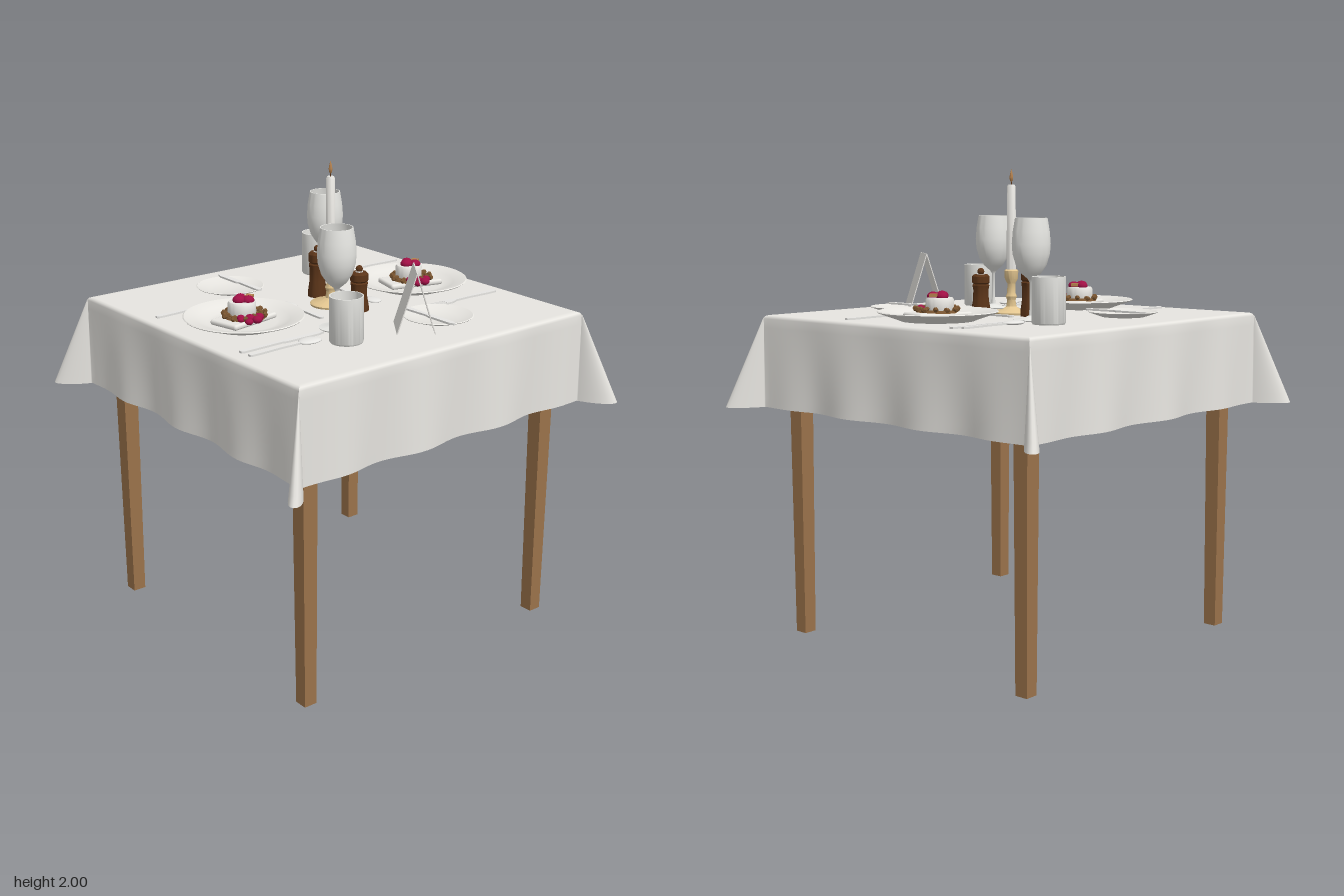
import * as THREE from 'three';
import { toCreasedNormals } from 'three/addons/utils/BufferGeometryUtils.js';
import { RoundedBoxGeometry } from 'three/addons/geometries/RoundedBoxGeometry.js';

const TOP = 1.386; // height of the laid surface

function material(name, color, side = THREE.DoubleSide) {
  const m = new THREE.MeshStandardMaterial({ color, side });
  m.name = name;
  return m;
}
const linen = material('linen', 0xf0eee9);
const wood = material('wood', 0x9a724a, THREE.FrontSide);
const china = material('china', 0xf3f1ec);
const glass = material('glass', 0xe6e6e2);
const silver = material('silver', 0xe6e5e2);
const darkWood = material('darkWood', 0x5c3519);
const paleWood = material('paleWood', 0xe3c690);
const berry = material('berry', 0xa01045);
const crumb = material('crumb', 0x7a5530);
const flameTan = material('flameTan', 0xb5824f);

function add(parent, name, geometry, mat, x = 0, y = 0, z = 0) {
  const mesh = new THREE.Mesh(geometry, mat);
  mesh.name = name;
  mesh.position.set(x, y, z);
  parent.add(mesh);
  return mesh;
}
function group(parent, name, x = 0, y = 0, z = 0) {
  const g = new THREE.Group();
  g.name = name;
  g.position.set(x, y, z);
  parent.add(g);
  return g;
}
// Turned form from [radius, height] pairs, bottom to top
function turned(points, segments = 40, crease = 0.6) {
  const geo = new THREE.LatheGeometry(points.map(p => new THREE.Vector2(...p)), segments);
  return toCreasedNormals(geo, crease);
}
// Flat symmetrical outline from [z, halfWidth] pairs, lying on y = 0
function flat(profile, depth = 0.008) {
  const side = s => profile.map(([z, w]) => new THREE.Vector2(s * w, -z));
  const shape = new THREE.Shape([...side(1), ...side(-1).reverse()]);
  return new THREE.ExtrudeGeometry(shape, { depth, bevelEnabled: false }).rotateX(-Math.PI / 2);
}

// Square cloth: top, rounded edge, rippled drop and a flared fold at each corner
function clothGeometry() {
  const H = 0.745, SIDE = 48, FOLD = 18;
  // [half size, height, spread]
  const rows = [[0, TOP, 0], [0.715, TOP, 0], [0.73, TOP, 0], [0.74, TOP - 0.004, 0], [H, TOP - 0.015, 0.02]];
  for (let i = 1; i <= 10; i++) rows.push([H, TOP - 0.015 - 0.379 * i / 10, 0.02 + 0.98 * i / 10]);
  const pos = [], index = [], n = 4 * (SIDE + FOLD);
  for (const [half, y, s] of rows) {
    for (let q = 0; q < 4; q++) {
      const put = (x, z) => {
        for (let k = 0; k < q; k++) [x, z] = [z, -x];
        pos.push(x, y, z);
      };
      for (let i = 0; i < SIDE; i++) {
        const t = i / SIDE, x = (2 * t - 1) * half;
        const fade = Math.min(1, 5 * t, 5 * (1 - t));
        put(x, half + 0.016 * s * fade * Math.sin(t * 22.5 + q * 1.3 - 2.6));
      }
      for (let i = 0; i < FOLD; i++) {
        const a = 2 * Math.PI * i / FOLD;
        const out = s * 0.17 * (1 - Math.cos(a)) / 2;
        const across = s * 0.036 * Math.sin(a) * Math.sin(a / 2);
        put(half + (out - across) * Math.SQRT1_2, half + (out + across) * Math.SQRT1_2);
      }
    }
  }
  for (let r = 0; r < rows.length - 1; r++) for (let i = 0; i < n; i++) {
    const a = r * n + i, b = r * n + (i + 1) % n, c = a + n, d = b + n;
    if (r > 0) index.push(a, c, b);
    index.push(b, c, d);
  }
  const geo = new THREE.BufferGeometry();
  geo.setAttribute('position', new THREE.Float32BufferAttribute(pos, 3));
  geo.setIndex(index);
  geo.computeVertexNormals();
  return geo;
}

function table(parent) {
  const g = group(parent, 'table');
  add(g, 'tableTop', new THREE.BoxGeometry(1.46, 0.025, 1.46), wood, 0, 1.3675, 0);
  const leg = new THREE.BoxGeometry(0.072, 1.355, 0.072);
  const p = leg.attributes.position;
  for (let i = 0; i < p.count; i++) if (p.getY(i) < 0) p.setXYZ(i, p.getX(i) * 0.8, p.getY(i), p.getZ(i) * 0.8);
  for (const sx of [-1, 1]) {
    for (const sz of [-1, 1]) add(g, 'leg', leg, wood, sx * 0.637, 0.6775, sz * 0.637);
    add(g, 'sideRail', new THREE.BoxGeometry(0.04, 0.15, 1.21), wood, sx * 0.637, 1.28, 0);
    add(g, 'crossRail', new THREE.BoxGeometry(1.21, 0.15, 0.04), wood, 0, 1.28, sx * 0.637);
  }
}

const handle = [[0.15, 0.006], [0.19, 0.005], [0.29, 0.011], [0.335, 0.012], [0.345, 0.007]];
function spoon(parent, x, z, scale, turn = 0) {
  const g = group(parent, 'spoon', x, TOP, z);
  g.rotation.y = turn;
  const bowl = new THREE.SphereGeometry(1, 24, 12).scale(0.037, 0.009, 0.053);
  add(g, 'spoonBowl', bowl, silver, 0, 0.009, 0.053).scale.setScalar(scale < 1 ? 0.88 : 1);
  add(g, 'spoonHandle', flat([[0.098, 0.006], ...handle]), silver, 0, 0.004, 0).scale.z = scale;
}
function knife(parent, x, y, z, length, turn = 0) {
  const outline = [[0, 0.004], [0.03, 0.013], [0.19, 0.014], [0.21, 0.008], [0.24, 0.009], [0.39, 0.014], [0.405, 0.009]];
  const m = add(parent, 'knife', flat(outline), silver, x, y, z);
  m.scale.z = length / 0.405;
  m.rotation.y = turn;
}
function fork(parent, x, z) {
  const g = group(parent, 'fork', x, TOP, z);
  add(g, 'forkHandle', flat([[0.085, 0.021], [0.115, 0.02], [0.15, 0.007], [0.22, 0.006], [0.34, 0.014], [0.375, 0.013], [0.382, 0.007]]), silver);
  for (let i = 0; i < 4; i++) add(g, 'tine', new THREE.BoxGeometry(0.006, 0.008, 0.09), silver, -0.0175 + i * 0.01167, 0.004, 0.045);
}

// Crockery, cutlery and glassware for one guest
function placeSetting(parent, turn, napkinTurn) {
  const g = group(parent, 'placeSetting');
  g.rotation.y = turn;
  add(g, 'dinnerPlate', turned([[0, 0], [0.15, 0], [0.165, 0.006], [0.244, 0.034], [0.248, 0.038], [0.244, 0.041],
    [0.198, 0.03], [0.19, 0.026], [0.15, 0.013], [0.135, 0.011], [0, 0.011]], 64, 0.3), china, 0, TOP, 0.451);
  const napkin = add(g, 'napkin', new RoundedBoxGeometry(0.145, 0.024, 0.25, 3, 0.011), linen, 0, TOP + 0.024, 0.451);
  napkin.rotation.y = napkinTurn;
  add(g, 'sidePlate', turned([[0, 0], [0.09, 0], [0.145, 0.019], [0.148, 0.022], [0.144, 0.024], [0.09, 0.009], [0, 0.008]], 48, 0.4),
    china, -0.445, TOP, 0.205);
  knife(g, -0.6, TOP + 0.022, 0.155, 0.31, Math.PI / 2);
  fork(g, -0.295, 0.3);
  knife(g, 0.295, TOP, 0.275, 0.405);
  spoon(g, 0.36, 0.34, 1);
  spoon(g, -0.132, 0.165, 0.83, Math.PI / 2);
  add(g, 'wineGlass', turned([[0, 0], [0.07, 0], [0.072, 0.004], [0.03, 0.01], [0.009, 0.02], [0.007, 0.05], [0.007, 0.155],
    [0.014, 0.168], [0.04, 0.19], [0.063, 0.225], [0.076, 0.27], [0.079, 0.31], [0.075, 0.36], [0.066, 0.414], [0.062, 0.414],
    [0.071, 0.36], [0.075, 0.31], [0.072, 0.27], [0.058, 0.225], [0.034, 0.193], [0, 0.18]], 48, 0.9), glass, 0.275, TOP, 0.19);
  add(g, 'tumbler', turned([[0, 0], [0.064, 0], [0.068, 0.006], [0.068, 0.188], [0.063, 0.188], [0.062, 0.014], [0, 0.012]], 40),
    glass, 0.44, TOP, 0.275);
}

// Creamy cake on a crumb bed with berries
function dessert(parent, z) {
  const g = group(parent, 'dessert', 0, TOP + 0.034, z);
  let seed = 7;
  const rand = () => (seed = (seed * 16807) % 2147483647) / 2147483647;
  add(g, 'crumbBed', new THREE.CylinderGeometry(0.08, 0.088, 0.012, 32), crumb, 0.005, 0.005, 0);
  const grain = new THREE.DodecahedronGeometry(0.011);
  for (let i = 0; i < 44; i++) {
    const a = i * 0.571, r = 0.066 + 0.026 * rand();
    const m = add(g, 'crumb', grain, crumb, 0.005 + r * Math.cos(a), 0.01 + 0.008 * rand(), r * Math.sin(a));
    m.rotation.set(a, 2 * a, 0);
  }
  add(g, 'cake', turned([[0, 0], [0.056, 0], [0.058, 0.01], [0.058, 0.046], [0.052, 0.055], [0, 0.056]], 36, 0.9), china, -0.012, 0.006, 0);
  const ball = new THREE.SphereGeometry(1, 14, 10);
  const berries = [[-0.038, 0.066, -0.012, 0.024], [0.008, 0.066, -0.018, 0.025], [-0.012, 0.068, 0.014, 0.026],
    [0.078, 0.012, -0.02, 0.02], [0.1, 0.01, 0.005, 0.021], [0.074, 0.014, 0.022, 0.02], [0.1, 0.008, 0.045, 0.017],
    [0.05, 0.014, 0.05, 0.016], [0.068, 0.012, 0.062, 0.014]];
  for (const [x, y, bz, r] of berries) add(g, 'berry', ball, berry, x, y, bz).scale.set(r, r * 0.75, r);
  add(g, 'biscuit', new THREE.BoxGeometry(0.03, 0.012, 0.03), flameTan, -0.018, 0.072, -0.042).rotation.y = 0.6;
}

function mill(parent, x, h) {
  const g = group(parent, 'mill', x, TOP, -0.04);
  add(g, 'millBody', turned([[0, 0], [0.041, 0], [0.041, 0.018], [0.034, h * 0.35], [0.033, h * 0.6], [0.037, h * 0.72],
    [0.032, h * 0.75], [0.038, h * 0.79], [0.038, h * 0.95], [0.03, h], [0, h]], 28), darkWood);
  add(g, 'millCap', turned([[0.016, 0], [0.016, 0.003], [0, 0.003]], 20), silver, 0, h, 0);
  add(g, 'millKnob', new THREE.SphereGeometry(0.015, 16, 10), darkWood, 0, h + 0.013, 0);
}

function candlestick(parent) {
  const g = group(parent, 'candlestick', 0, TOP, 0);
  add(g, 'holder', turned([[0, 0], [0.085, 0], [0.087, 0.008], [0.08, 0.014], [0.04, 0.02], [0.022, 0.032], [0.018, 0.06], [0.024, 0.075],
    [0.018, 0.09], [0.017, 0.13], [0.028, 0.15], [0.03, 0.185], [0.024, 0.19], [0, 0.19]], 36), paleWood);
  add(g, 'candle', turned([[0.021, 0.18], [0.018, 0.54], [0.014, 0.548], [0, 0.548]], 24), china);
  add(g, 'wick', new THREE.CylinderGeometry(0.002, 0.002, 0.02, 8), darkWood, 0, 0.555, 0);
  add(g, 'flame', turned([[0, 0.556], [0.006, 0.566], [0.008, 0.578], [0.005, 0.596], [0, 0.614]], 16, 1.2), flameTan);
}

// Folded table card
function card(parent) {
  const g = group(parent, 'card', 0.472, TOP, -0.053);
  g.rotation.y = -0.644;
  const h = 0.248, d = 0.076;
  for (const s of [-1, 1]) {
    const panel = new THREE.BoxGeometry(0.177, Math.hypot(h, d), 0.004);
    add(g, 'cardPanel', panel, china, 0, h / 2, s * d / 2).rotation.x = -s * Math.atan2(d, h);
  }
}

export function createModel() {
  const model = new THREE.Group();
  model.name = 'diningTable';
  table(model);
  add(model, 'tablecloth', clothGeometry(), linen);
  placeSetting(model, 0, 0.2);
  placeSetting(model, Math.PI, -0.26);
  for (const z of [-0.451, 0.451]) dessert(model, z);
  mill(model, -0.14, 0.195);
  mill(model, 0.14, 0.165);
  candlestick(model);
  card(model);
  return model;
}
